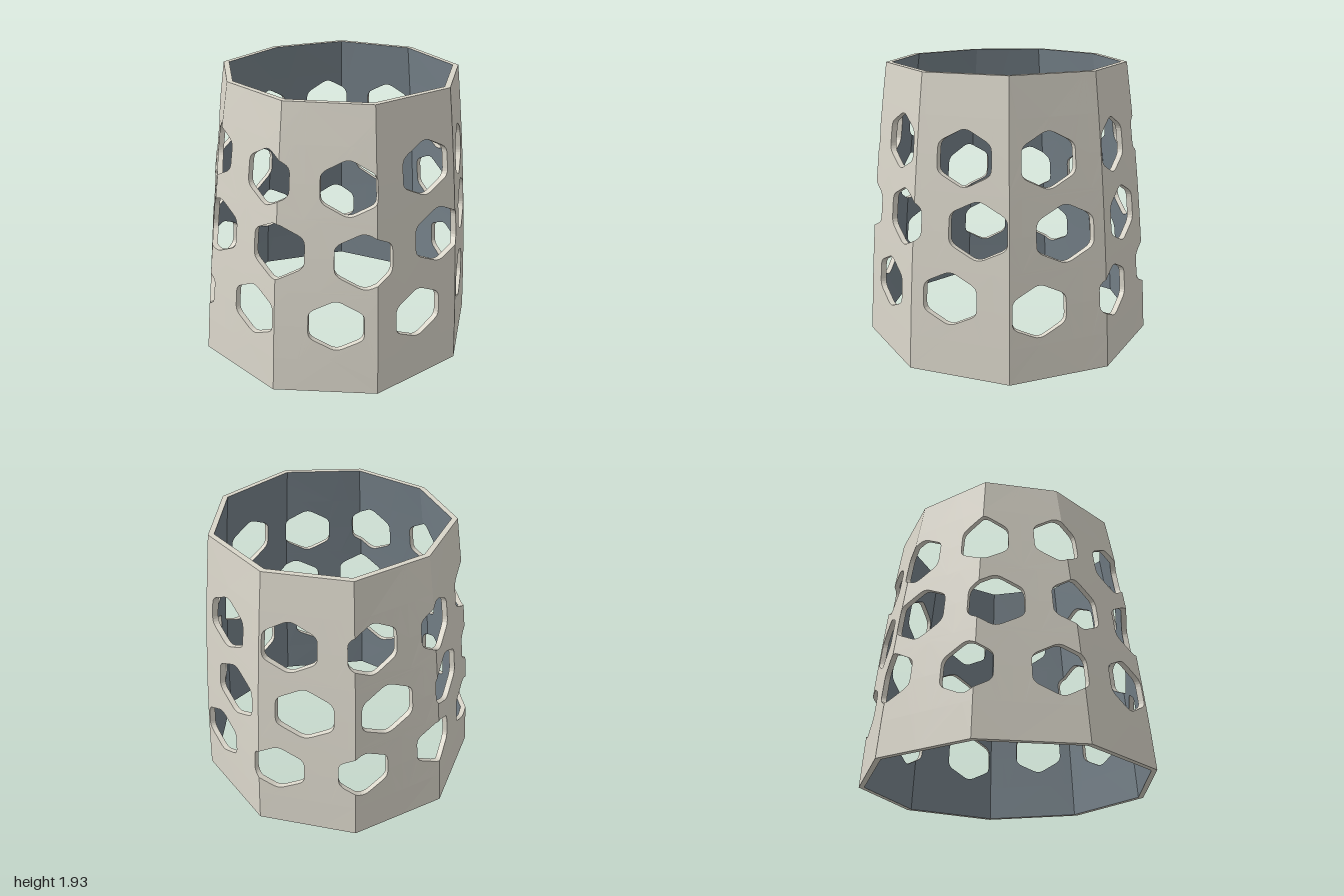
import * as THREE from 'three';

const HEIGHT = 1.935, WALL = 0.038, STEP = 0.9, SIDES = 9;

// corners (x, z) of the nine-sided bottom and top outlines, left -> front -> right -> back
const BOTTOM = [[-0.985, 0], [-0.747, 0.653], [-0.146, 1], [0.538, 0.879], [0.985, 0.347],
  [0.985, -0.347], [0.538, -0.879], [-0.146, -1], [-0.747, -0.653]];
const TOP = [[-0.73, 0], [-0.565, 0.515], [-0.115, 0.74], [0.425, 0.675], [0.81, 0.28],
  [0.815, -0.31], [0.455, -0.735], [-0.115, -0.812], [-0.59, -0.525]];

// three staggered rows of ten openings: band limits, first position, centre heights
const ROWS = [
  { y0: 0, y1: 0.735, start: 0, halfH: 0.175, halfW: 0.27,
    heights: [0.54, 0.475, 0.475, 0.52, 0.495, 0.49, 0.525, 0.465, 0.49, 0.51] },
  { y0: 0.735, y1: 1.215, start: 0.28, halfH: 0.187, halfW: 0.3,
    heights: [0.965, 0.945, 0.98, 0.99, 0.95, 1.0, 0.985, 0.95, 0.97, 0.975] },
  { y0: 1.215, y1: HEIGHT, start: 0.12, halfH: 0.178, halfW: 0.29,
    heights: [1.43, 1.44, 1.48, 1.447, 1.42, 1.475, 1.43, 1.42, 1.45, 1.45] },
];

// unrolled wall (u = corner number, y, d = 0 outside .. 1 inside) to space
function place([u, y, d]) {
  const t = y / HEIGHT, k = Math.floor(u), f = u - k;
  const i = ((k % SIDES) + SIDES) % SIDES, j = (i + 1) % SIDES;
  const mix = THREE.MathUtils.lerp;
  const x = mix(mix(BOTTOM[i][0], BOTTOM[j][0], f), mix(TOP[i][0], TOP[j][0], f), t);
  const z = mix(mix(BOTTOM[i][1], BOTTOM[j][1], f), mix(TOP[i][1], TOP[j][1], f), t);
  const cx = mix(0.03, 0.05, t), cz = -0.035 * t, radius = mix(1.015, 0.79, t);
  const s = 1 + (0.09 * t * (1 - t) - d * WALL) / radius; // slight belly, wall thickness
  return [cx + (x - cx) * s, y, cz + (z - cz) * s];
}

// split polygons along one coordinate
function cut(polys, axis, value) {
  const out = [];
  for (const poly of polys) {
    for (const side of [1, -1]) {
      const part = [];
      poly.forEach((a, i) => {
        const b = poly[(i + 1) % poly.length];
        const da = (a[axis] - value) * side, db = (b[axis] - value) * side;
        if (da >= 0) part.push(a);
        if (da * db < 0) part.push(a.map((v, n) => v + (b[n] - v) * da / (da - db)));
      });
      if (part.length > 2 && part.some((p) => (p[axis] - value) * side > 1e-7)) out.push(part);
    }
  }
  return out;
}

// wrap unrolled polygons round the body, folding at the corners
function wrap(polys, name, material) {
  const pos = [];
  for (const poly of polys) {
    let parts = [poly];
    const us = poly.map((p) => p[0]);
    for (let k = Math.ceil(Math.min(...us)); k <= Math.max(...us); k++) parts = cut(parts, 0, k);
    for (let y = 0.24; y < HEIGHT; y += 0.24) parts = cut(parts, 1, y);
    for (const part of parts) {
      const p = part.map(place);
      for (let i = 1; i < p.length - 1; i++) pos.push(...p[0], ...p[i], ...p[i + 1]);
    }
  }
  const geometry = new THREE.BufferGeometry();
  geometry.setAttribute('position', new THREE.Float32BufferAttribute(pos, 3));
  geometry.computeVertexNormals();
  const mesh = new THREE.Mesh(geometry, material);
  mesh.name = name;
  return mesh;
}

// rounded hexagon with a point at top and bottom
function hexagon(u, y, halfW, halfH) {
  const corners = [[0, -1], [1, -0.5], [1, 0.5], [0, 1], [-1, 0.5], [-1, -0.5]]
    .map(([a, b]) => new THREE.Vector2(u + a * halfW * 1.01, y + b * halfH * 1.05));
  return corners.flatMap((c, i) => {
    const before = c.clone().lerp(corners[(i + 5) % 6], 0.22);
    const after = c.clone().lerp(corners[(i + 1) % 6], 0.22);
    return new THREE.QuadraticBezierCurve(before, c, after).getPoints(4);
  });
}

export function createModel() {
  const stone = new THREE.MeshStandardMaterial({ color: 0xd9d5c9 });
  stone.name = 'warm stone';
  const slate = new THREE.MeshStandardMaterial({ color: 0x76828a });
  slate.name = 'slate lining';

  const outside = [], inside = [], edges = [], rims = [];
  for (const row of ROWS) {
    row.heights.forEach((y, k) => {
      // one panel with one opening
      const u = row.start + k * STEP, a = u - STEP / 2, b = u + STEP / 2;
      const frame = [[a, row.y0], [b, row.y0], [b, row.y1], [a, row.y1]]
        .map((p) => new THREE.Vector2(...p));
      const hole = hexagon(u, y, row.halfW, row.halfH);
      const reversed = hole.slice().reverse();
      const points = [...frame, ...reversed];
      for (const face of THREE.ShapeUtils.triangulateShape(frame, [reversed])) {
        const tri = face.map((i) => points[i]);
        outside.push(tri.map((p) => [p.x, p.y, 0]));
        inside.push(tri.map((p) => [p.x, p.y, 1]).reverse());
      }
      // thickness of the wall round the opening
      hole.forEach((p, i) => {
        const q = hole[(i + 1) % hole.length];
        edges.push([[p.x, p.y, 0], [q.x, q.y, 0], [q.x, q.y, 1], [p.x, p.y, 1]]);
      });
    });
  }
  // top and bottom rims
  for (let k = 0; k < SIDES; k++) {
    const strip = (y) => [[k, y, 0], [k + 1, y, 0], [k + 1, y, 1], [k, y, 1]];
    rims.push(strip(HEIGHT), strip(0).reverse());
  }

  const group = new THREE.Group();
  group.name = 'perforatedSleeve';
  group.add(
    wrap(outside, 'outerWall', stone),
    wrap(inside, 'innerWall', slate),
    wrap(edges, 'openingEdges', stone),
    wrap(rims, 'rims', stone),
  );
  return group;
}
